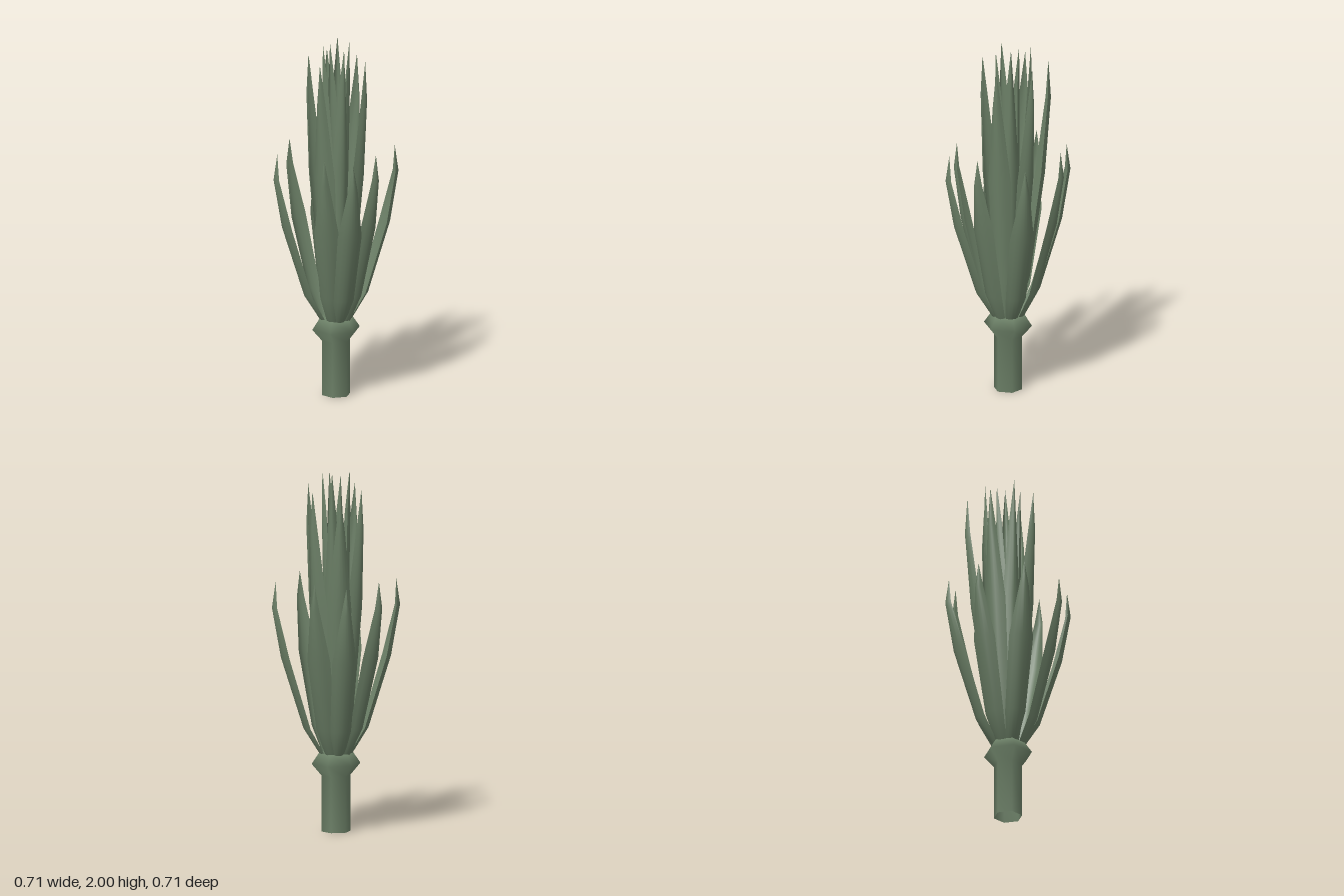
import * as THREE from 'three';

const leafGreen = new THREE.MeshStandardMaterial({ color: 0x6b7f66, side: THREE.DoubleSide });
leafGreen.name = 'leafGreen';

// Cross-sections from base to tip: height share, reach share, width share, channel depth
const SECTIONS = [
  [0.00, 0.00, 0.50, 0.020],
  [0.15, 0.34, 0.84, 0.030],
  [0.56, 0.81, 1.00, 0.036],
  [0.85, 1.00, 0.40, 0.024],
  [1.00, 0.92, 0.00, 0.000],
];
const ACROSS = 6;
const BASE_Y = 0.43;

// Channelled leaf blade whose outermost point lies above (x, z)
function makeLeaf(name, x, z, height, halfWidth, baseRadius) {
  const reach = Math.hypot(x, z);
  const pos = [], index = [];
  for (const [h, r, w, depth] of SECTIONS) {
    for (let i = 0; i <= ACROSS; i++) {
      const u = (i / ACROSS) * 2 - 1;
      const radius = baseRadius + (reach - baseRadius) * r - depth * u * u;
      pos.push(u * halfWidth * w, BASE_Y + (height - BASE_Y) * h, radius);
    }
  }
  const row = ACROSS + 1;
  for (let j = 0; j < SECTIONS.length - 1; j++) {
    for (let i = 0; i < ACROSS; i++) {
      const a = j * row + i, b = a + 1, c = a + row, d = c + 1;
      index.push(a, b, c);
      if (j < SECTIONS.length - 2) index.push(b, d, c);
    }
  }
  const geo = new THREE.BufferGeometry();
  geo.setAttribute('position', new THREE.Float32BufferAttribute(pos, 3));
  geo.setIndex(index);
  geo.computeVertexNormals();
  const leaf = new THREE.Mesh(geo, leafGreen);
  leaf.name = name;
  leaf.rotation.y = Math.atan2(x, z);
  return leaf;
}

export function createModel() {
  const model = new THREE.Group();
  model.name = 'plant';

  // Six-sided stem with a swollen collar, open underneath
  const profile = [[0.08, 0], [0.08, 0.31], [0.135, 0.375], [0.095, 0.435], [0.001, 0.43]]
    .map(([r, y]) => new THREE.Vector2(r, y));
  const stem = new THREE.Mesh(new THREE.LatheGeometry(profile, 6, Math.PI / 2), leafGreen);
  stem.name = 'stem';
  model.add(stem);

  // Leaf rings: outermost x, z and tip height of each leaf
  const rings = [
    { name: 'outerLeaf', halfWidth: 0.068, base: 0.09, leaves: [
      [0.355, 0, 1.39], [-0.355, 0, 1.39], [0, 0.355, 1.39], [0, -0.355, 1.39],
      [0.173, -0.267, 1.41], [-0.212, -0.235, 1.41], [0.172, 0.235, 1.41], [-0.148, 0.265, 1.41]] },
    { name: 'middleLeaf', halfWidth: 0.066, base: 0.06, leaves: [
      [0.015, -0.24, 1.9], [-0.125, -0.14, 1.91], [0.155, -0.1, 1.9],
      [0.143, 0.113, 1.91], [-0.13, 0.115, 1.91]] },
    { name: 'innerLeaf', halfWidth: 0.052, base: 0.035, leaves: [
      [-0.082, 0.015, 2.0], [0.078, 0.005, 2.0], [0.025, 0.08, 1.98],
      [0.045, -0.125, 2.0], [-0.015, -0.07, 1.98]] },
  ];
  for (const { name, halfWidth, base, leaves } of rings) {
    const ring = new THREE.Group();
    ring.name = name + 'Ring';
    for (const [x, z, h] of leaves) ring.add(makeLeaf(name, x, z, h, halfWidth, base));
    model.add(ring);
  }
  return model;
}
